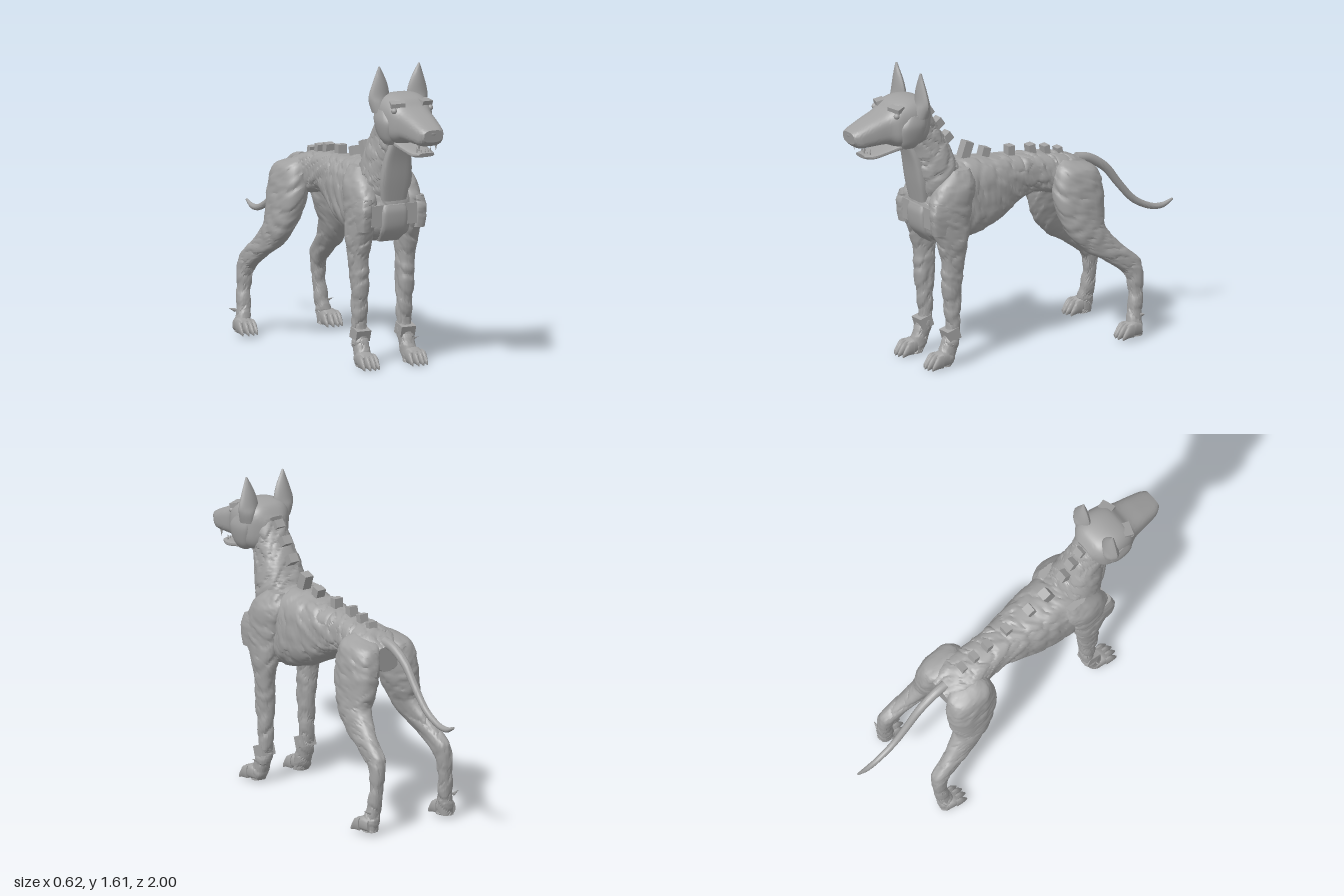
import * as THREE from 'three';
import { toCreasedNormals } from 'three/addons/utils/BufferGeometryUtils.js';

const stone = new THREE.MeshStandardMaterial({ color: 0xa2a2a2 });
stone.name = 'stone grey';

// Stepped pattern that breaks a surface into raised, cracked plates
function plates(x, y, z) {
  const a = Math.sin(27 * y + 13 * z + 3 * Math.sin(19 * x + 11 * z));
  const b = Math.sin(31 * z - 9 * y + 3 * Math.sin(17 * y + 8 * x));
  const c = Math.sin(57 * y - 41 * z + 37 * x);
  const n = a * b + 0.25 * c;
  return n > 0.3 ? 1 : n > -0.12 ? 0.35 : n > -0.3 ? -0.6 : 0;
}

// Smooth value through the keys of one column
function sample(keys, col, t) {
  const f = t * (keys.length - 1), i = Math.min(Math.floor(f), keys.length - 2), s = f - i;
  const k = j => keys[Math.max(0, Math.min(keys.length - 1, j))][col];
  const m0 = (k(i + 1) - k(i - 1)) / 2, m1 = (k(i + 2) - k(i)) / 2;
  const s2 = s * s, s3 = s2 * s;
  return k(i) * (2 * s3 - 3 * s2 + 1) + m0 * (s3 - 2 * s2 + s) + k(i + 1) * (3 * s2 - 2 * s3) + m1 * (s3 - s2);
}

// Loft through keys [centre x, half width, yA, zA, yB, zB]; A and B are opposite rims
function loft(keys, { side = 1, rows = 40, cols = 36, power = 2.4, crack = 0 } = {}) {
  const pos = [], idx = [];
  const v = new THREE.Vector3();
  for (let r = 0; r <= rows; r++) {
    const [cx, w, yA, zA, yB, zB] = [0, 1, 2, 3, 4, 5].map(c => sample(keys, c, r / rows));
    for (let c = 0; c < cols; c++) {
      const a = c / cols * Math.PI * 2, e = 2 / power;
      const u = Math.sign(Math.cos(a)) * Math.abs(Math.cos(a)) ** e;
      const d = Math.sign(Math.sin(a)) * Math.abs(Math.sin(a)) ** e;
      const cy = (yA + yB) / 2, cz = (zA + zB) / 2;
      v.set(u * w, d * (yA - yB) / 2, d * (zA - zB) / 2);
      if (crack) v.setLength(v.length() + crack * plates(cx + v.x, cy + v.y, cz + v.z));
      pos.push(side * (cx + v.x), cy + v.y, cz + v.z);
    }
  }
  for (let r = 0; r < rows; r++) for (let c = 0; c < cols; c++) {
    const a = r * cols + c, b = r * cols + (c + 1) % cols;
    idx.push(a, b, a + cols, b, b + cols, a + cols);
  }
  // End caps
  for (const [k, row, flip] of [[keys[0], 0, 1], [keys[keys.length - 1], rows, 0]]) {
    const m = pos.length / 3;
    pos.push(side * k[0], (k[2] + k[4]) / 2, (k[3] + k[5]) / 2);
    for (let c = 0; c < cols; c++) {
      const a = row * cols + c, b = row * cols + (c + 1) % cols;
      if (flip) idx.push(m, b, a); else idx.push(m, a, b);
    }
  }
  // Turn the faces outward
  let vol = 0;
  const p = [0, 1, 2].map(() => new THREE.Vector3());
  for (let i = 0; i < idx.length; i += 3) {
    p.forEach((q, j) => q.fromArray(pos, idx[i + j] * 3));
    vol += p[0].dot(v.crossVectors(p[1], p[2]));
  }
  if (vol < 0) idx.reverse();
  const g = new THREE.BufferGeometry();
  g.setAttribute('position', new THREE.Float32BufferAttribute(pos, 3));
  g.setIndex(idx);
  return toCreasedNormals(g, 0.65);
}

export function createModel() {
  const model = new THREE.Group();
  model.name = 'hound';
  const add = (name, geo, at = [0, 0, 0], rot = [0, 0, 0]) => {
    const m = new THREE.Mesh(geo, stone);
    m.name = name;
    m.position.set(...at);
    m.rotation.set(...rot);
    model.add(m);
    return m;
  };

  // Body, neck and head
  add('torso', loft([
    [0, 0.09, 0.91, 0.575, 0.73, 0.575], [0, 0.135, 0.98, 0.53, 0.68, 0.53],
    [0, 0.155, 1.06, 0.42, 0.65, 0.43], [0, 0.152, 1.07, 0.29, 0.655, 0.30],
    [0, 0.14, 1.055, 0.15, 0.70, 0.15], [0, 0.115, 1.04, 0.02, 0.775, 0.02],
    [0, 0.10, 1.03, -0.10, 0.825, -0.10], [0, 0.11, 1.015, -0.22, 0.80, -0.22],
    [0, 0.12, 0.99, -0.33, 0.79, -0.33], [0, 0.07, 0.94, -0.44, 0.80, -0.43],
  ], { rows: 110, cols: 72, power: 2.7, crack: 0.006 }));
  add('neck', loft([
    [0, 0.10, 1.0, 0.32, 0.84, 0.55], [0, 0.13, 1.09, 0.37, 0.93, 0.585],
    [0, 0.115, 1.19, 0.42, 1.05, 0.61], [0, 0.095, 1.29, 0.475, 1.16, 0.635],
    [0, 0.095, 1.38, 0.53, 1.25, 0.67],
  ], { rows: 60, cols: 60, crack: 0.006 }));
  add('throatPlate', loft([
    [0, 0.075, 0.91, 0.53, 0.885, 0.59], [0, 0.085, 1.0, 0.55, 0.99, 0.612],
    [0, 0.075, 1.12, 0.58, 1.11, 0.635], [0, 0.055, 1.22, 0.60, 1.21, 0.665],
  ], { rows: 16, cols: 24, power: 4 }));
  add('head', loft([
    [0, 0.07, 1.40, 0.53, 1.26, 0.54], [0, 0.122, 1.455, 0.575, 1.215, 0.59],
    [0, 0.138, 1.472, 0.66, 1.205, 0.66], [0, 0.13, 1.455, 0.745, 1.215, 0.74],
    [0, 0.104, 1.412, 0.80, 1.235, 0.80], [0, 0.088, 1.375, 0.89, 1.235, 0.89],
    [0, 0.074, 1.34, 0.97, 1.235, 0.955], [0, 0.055, 1.325, 1.0, 1.26, 0.99],
  ], { rows: 56, cols: 48, power: 3 }));
  add('lowerJaw', loft([
    [0, 0.09, 1.25, 0.68, 1.20, 0.68], [0, 0.075, 1.215, 0.78, 1.182, 0.78],
    [0, 0.065, 1.197, 0.87, 1.165, 0.87], [0, 0.045, 1.193, 0.925, 1.172, 0.92],
  ], { rows: 18, cols: 24, power: 3 }));
  add('nose', new THREE.SphereGeometry(0.03, 14, 10), [0, 1.308, 0.975]).scale.set(1.4, 0.8, 0.8);
  for (let i = 0; i < 5; i++) {
    const x = (i - 2) * 0.02;
    add('lowerTooth', new THREE.ConeGeometry(0.008, i % 4 ? 0.025 : 0.05, 6), [x, 1.2, 0.905 - Math.abs(x) * 0.4]);
  }

  // Chest armour and belly ridge
  add('chestPlate', loft([
    [0, 0.06, 0.665, 0.53, 0.665, 0.46], [0, 0.075, 0.73, 0.585, 0.73, 0.48],
    [0, 0.075, 0.82, 0.60, 0.82, 0.50], [0, 0.065, 0.865, 0.59, 0.865, 0.50],
  ], { rows: 16, cols: 28, power: 6 }));
  add('chestBand', new THREE.BoxGeometry(0.27, 0.11, 0.07), [0, 0.81, 0.545]);
  add('bellyRidge', new THREE.BoxGeometry(0.045, 0.05, 0.1), [0, 0.835, -0.08]);

  // Spine blocks [y, z, size, tilt]
  [[1.36, 0.525, 0.05, 0.95], [1.285, 0.465, 0.055, 0.95], [1.2, 0.41, 0.055, 0.95],
    [1.12, 0.28, 0.06, 0.35], [1.075, 0.17, 0.055, 0.3], [1.065, 0.01, 0.045, 0],
    [1.05, -0.12, 0.045, -0.15], [1.035, -0.21, 0.04, -0.15], [1.015, -0.29, 0.035, -0.2],
  ].forEach(([y, z, s, t]) =>
    add('spineBlock', new THREE.BoxGeometry(0.052, s * 1.5, s * 0.85), [0, y - 0.01, z], [-t, 0, 0]));

  // Tail, tapering to its tip
  const tail = [[0.95, -0.40, 0.03], [0.935, -0.48, 0.027], [0.87, -0.58, 0.024], [0.77, -0.66, 0.021],
    [0.67, -0.75, 0.019], [0.615, -0.85, 0.017], [0.605, -0.93, 0.015], [0.63, -0.993, 0.006]];
  add('tail', loft(tail.map(([y, z, r], i) => {
    const a = tail[Math.max(0, i - 1)], b = tail[Math.min(tail.length - 1, i + 1)];
    const l = Math.hypot(b[0] - a[0], b[1] - a[1]), dy = -(b[1] - a[1]) / l * r, dz = (b[0] - a[0]) / l * r;
    return [0, r * 0.9, y + dy, z + dz, y - dy, z - dz];
  }), { rows: 48, cols: 16, power: 2 }));

  for (const side of [1, -1]) {
    const opt = { side, rows: 100, cols: 40, crack: 0.005 };
    // Ear with a hollow front
    add('ear', loft([
      [0.115, 0.04, 1.37, 0.67, 1.37, 0.58], [0.118, 0.052, 1.42, 0.66, 1.42, 0.575],
      [0.113, 0.060, 1.46, 0.65, 1.46, 0.585], [0.112, 0.040, 1.53, 0.645, 1.53, 0.60],
      [0.118, 0.004, 1.61, 0.635, 1.61, 0.622],
    ], { side, rows: 20, cols: 16, power: 1.7 }));
    add('brow', new THREE.BoxGeometry(0.075, 0.025, 0.05), [side * 0.08, 1.43, 0.755], [0.25, side * 0.3, side * -0.15]);
    add('eye', new THREE.SphereGeometry(0.016, 12, 8), [side * 0.107, 1.398, 0.768]);
    add('cheek', loft([
      [0.115, 0.025, 1.39, 0.71, 1.39, 0.60], [0.122, 0.03, 1.33, 0.75, 1.33, 0.60],
      [0.105, 0.03, 1.25, 0.74, 1.25, 0.62], [0.09, 0.02, 1.21, 0.72, 1.21, 0.65],
    ], { side, rows: 16, cols: 20 }));
    add('fang', new THREE.ConeGeometry(0.009, 0.045, 6), [side * 0.05, 1.225, 0.93], [Math.PI, 0, 0]);

    // Shoulder and front leg
    add('frontLeg', loft([
      [0.105, 0.035, 1.05, 0.44, 1.05, 0.33], [0.122, 0.066, 0.97, 0.53, 0.97, 0.31],
      [0.130, 0.066, 0.87, 0.575, 0.87, 0.33], [0.135, 0.062, 0.77, 0.57, 0.77, 0.35],
      [0.140, 0.056, 0.67, 0.53, 0.67, 0.365], [0.138, 0.046, 0.57, 0.505, 0.57, 0.385],
      [0.135, 0.043, 0.45, 0.50, 0.45, 0.395], [0.133, 0.038, 0.32, 0.485, 0.32, 0.405],
      [0.132, 0.036, 0.21, 0.475, 0.21, 0.41], [0.134, 0.040, 0.15, 0.495, 0.15, 0.415],
      [0.138, 0.038, 0.08, 0.52, 0.08, 0.43], [0.14, 0.038, 0.01, 0.53, 0.01, 0.465],
    ], opt));
    add('shoulderPlate', loft([
      [0.155, 0.03, 0.90, 0.575, 0.90, 0.40], [0.162, 0.034, 0.83, 0.59, 0.83, 0.39],
      [0.158, 0.03, 0.73, 0.575, 0.73, 0.41],
    ], { side, rows: 20, cols: 28, power: 5, crack: 0.004 }));
    add('wristKnob', new THREE.BoxGeometry(0.085, 0.06, 0.07), [side * 0.133, 0.175, 0.455], [0.3, 0, 0]);

    // Thigh and hind leg
    add('hindLeg', loft([
      [0.075, 0.04, 0.985, -0.26, 0.955, -0.40], [0.108, 0.075, 0.94, -0.21, 0.92, -0.45],
      [0.125, 0.082, 0.82, -0.19, 0.81, -0.475], [0.142, 0.076, 0.71, -0.205, 0.70, -0.472],
      [0.165, 0.062, 0.59, -0.26, 0.62, -0.465], [0.185, 0.05, 0.50, -0.345, 0.54, -0.525],
      [0.203, 0.041, 0.42, -0.48, 0.47, -0.595], [0.213, 0.038, 0.35, -0.565, 0.395, -0.66],
      [0.222, 0.033, 0.25, -0.592, 0.25, -0.658], [0.232, 0.033, 0.15, -0.578, 0.15, -0.648],
      [0.24, 0.036, 0.08, -0.565, 0.08, -0.642], [0.243, 0.036, 0.02, -0.55, 0.02, -0.64],
    ], opt));

    // Paws with four clawed toes
    for (const [name, x, y, z] of [['frontPaw', 0.143, 0.01, 0.5], ['hindPaw', 0.252, 0.022, -0.6]]) {
      add(name, loft([
        [x, 0.036, y + 0.07, z - 0.025, y, z - 0.03], [x, 0.045, y + 0.08, z + 0.02, y, z + 0.02],
        [x, 0.046, y + 0.06, z + 0.06, y, z + 0.06],
      ], { side, rows: 10, cols: 20, power: 3 }));
      for (let i = 0; i < 4; i++) {
        const o = (i - 1.5) * 0.026, reach = i % 3 ? 0.012 : 0;
        add('toe', loft([
          [x + o, 0.012, y + 0.07, z + 0.03, y, z + 0.03],
          [x + o * 1.05, 0.013, y + 0.062, z + 0.065 + reach, y, z + 0.065 + reach],
          [x + o * 1.1, 0.004, y + 0.012, z + 0.098 + reach, y - 0.008, z + 0.098 + reach],
        ], { side, rows: 8, cols: 10 }));
      }
      add('dewclaw', new THREE.ConeGeometry(0.01, 0.045, 6), [side * (x + 0.038), y + 0.115, z - 0.03], [0.4, 0, side * -1.2]);
    }
  }
  return model;
}
